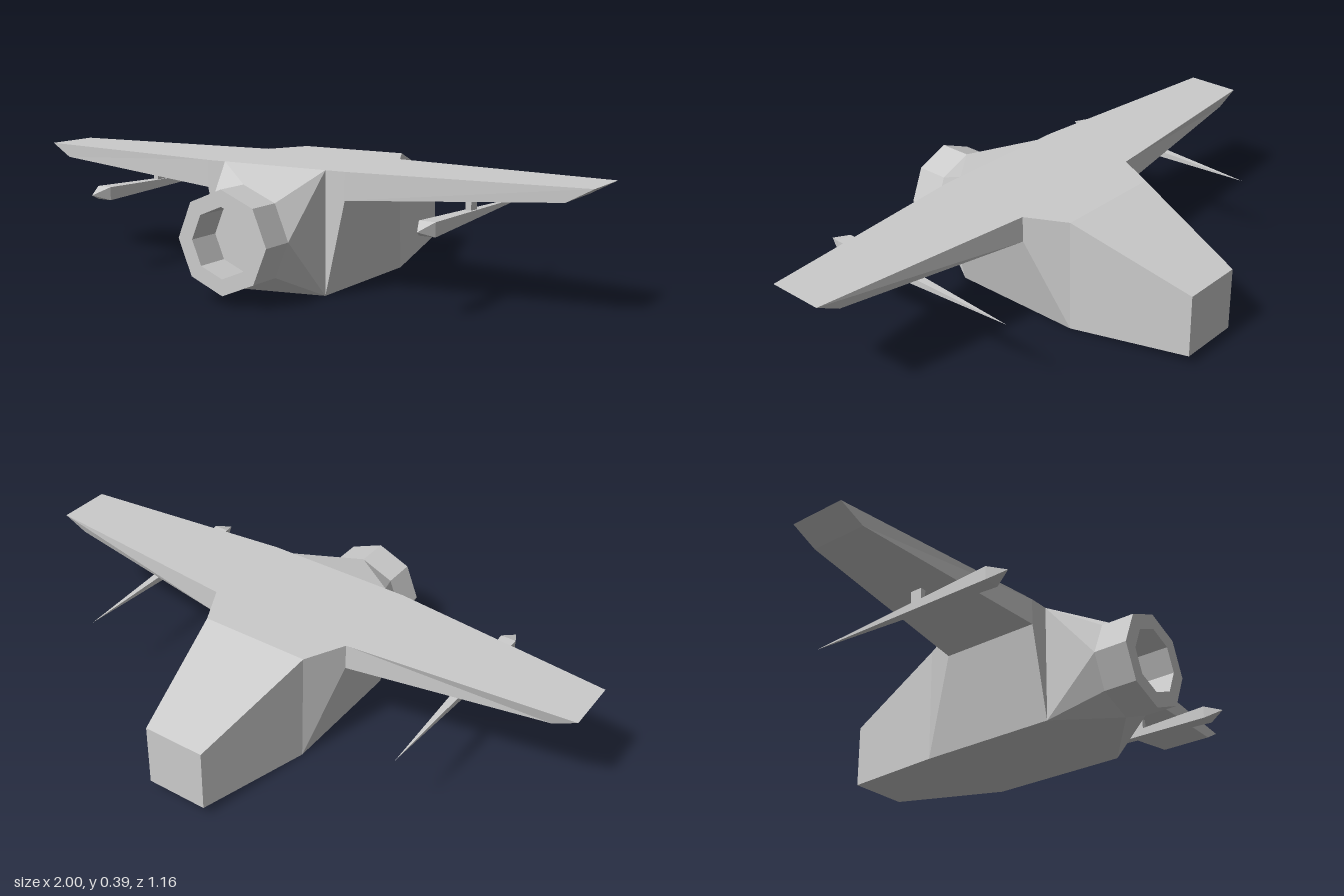
import * as THREE from 'three';

const material = new THREE.MeshStandardMaterial({ color: 0xcccccc, flatShading: true });
const mirror = ([x, y, z]) => [-x, y, z];

// Flat mesh from convex polygons; `paired` ones are repeated on the other side.
function faceted(name, paired, central = []) {
  const faces = [...central, ...paired, ...paired.map((f) => f.map(mirror).reverse())];
  const position = [];
  for (const f of faces) {
    for (let i = 1; i < f.length - 1; i++) position.push(...f[0], ...f[i], ...f[i + 1]);
  }
  const geometry = new THREE.BufferGeometry();
  geometry.setAttribute('position', new THREE.Float32BufferAttribute(position, 3));
  geometry.computeVertexNormals();
  const mesh = new THREE.Mesh(geometry, material);
  mesh.name = name;
  return mesh;
}

// Faceted lathe whose axis lies along z; profile points are [radius, z].
function latheZ(name, profile, sides, turn = 0) {
  const geometry = new THREE.LatheGeometry(profile.map(([r, z]) => new THREE.Vector2(r, z)), sides);
  geometry.rotateY(turn).rotateX(Math.PI / 2);
  const mesh = new THREE.Mesh(geometry, material);
  mesh.name = name;
  return mesh;
}

export function createModel() {
  const model = new THREE.Group();
  model.name = 'aircraft';

  // Corners of the left half: wing root, hull box and tail
  const rootFrontLow = [0.255, 0.3, 0.305], rootFrontTop = [0.255, 0.387, 0.305];
  const rootBackLow = [0.255, 0.3, -0.035], rootBackTop = [0.255, 0.387, -0.035];
  const frontLow = [0.187, 0, 0.305], frontTop = [0.187, 0.387, 0.305];
  const backLow = [0.187, 0, -0.17], backTop = [0.187, 0.387, -0.17];
  const tailLow = [0.105, 0.035, -0.578], tailTop = [0.105, 0.25, -0.578];
  const across = (a, b) => [mirror(a), a, b, mirror(b)];

  // Hull with flared wing roots and tapered tail
  model.add(faceted('fuselage', [
    [frontLow, backLow, rootBackLow, rootFrontLow],
    [backLow, backTop, rootBackTop, rootBackLow],
    [frontLow, rootFrontLow, rootFrontTop, frontTop],
    [frontTop, rootFrontTop, rootBackTop, backTop],
    [backLow, tailLow, tailTop, backTop],
  ], [
    across(frontTop, backTop), across(backTop, tailTop), across(tailTop, tailLow),
    across(tailLow, backLow), across(backLow, frontLow),
  ]));

  // Square hull blending into the octagonal nose
  const noseY = 0.19, noseR = 0.159, noseBack = 0.465;
  const oct = (i) => [
    noseR * Math.cos(i * Math.PI / 4), noseY + noseR * Math.sin(i * Math.PI / 4), noseBack,
  ];
  model.add(faceted('noseTransition', [
    [frontTop, oct(2), oct(1)], [frontTop, oct(1), oct(0)], [frontTop, oct(0), frontLow],
    [frontLow, oct(0), oct(7)], [frontLow, oct(7), oct(6)],
  ], [
    [mirror(frontTop), oct(2), frontTop], [frontLow, oct(6), mirror(frontLow)],
  ]));

  // Hollow intake ring with a recessed back wall
  const intake = latheZ('noseIntake', [
    [noseR, noseBack], [noseR, 0.578], [0.108, 0.578], [0.108, noseBack], [0, noseBack],
  ], 8);
  intake.position.y = noseY;
  model.add(intake);

  // Tapered wings, flat on top with bevelled tips
  const tipFrontLow = [0.92, 0.343, 0.235], tipBackLow = [0.92, 0.343, 0.045];
  const tipFrontTop = [1, 0.387, 0.228], tipBackTop = [1, 0.387, 0.04];
  model.add(faceted('wings', [
    [rootFrontTop, tipFrontTop, tipBackTop, rootBackTop],
    [rootFrontLow, tipFrontLow, tipFrontTop, rootFrontTop],
    [rootBackLow, rootBackTop, tipBackTop, tipBackLow],
    [rootBackLow, tipBackLow, tipFrontLow, rootFrontLow],
    [tipFrontLow, tipBackLow, tipBackTop, tipFrontTop],
  ]));

  // Slender pods hung on short pylons
  for (const side of [1, -1]) {
    const store = new THREE.Group();
    store.name = side > 0 ? 'leftPod' : 'rightPod';
    const pod = latheZ('podBody', [[0, -0.285], [0.037, 0.42], [0, 0.48]], 4, Math.PI / 4);
    pod.scale.y = 0.82;
    pod.position.y = 0.267;
    const pylon = new THREE.Mesh(new THREE.BoxGeometry(0.018, 0.06, 0.04), material);
    pylon.name = 'pylon';
    pylon.position.set(0, 0.3, 0.14);
    store.add(pod, pylon);
    store.position.x = side * 0.592;
    model.add(store);
  }

  return model;
}
